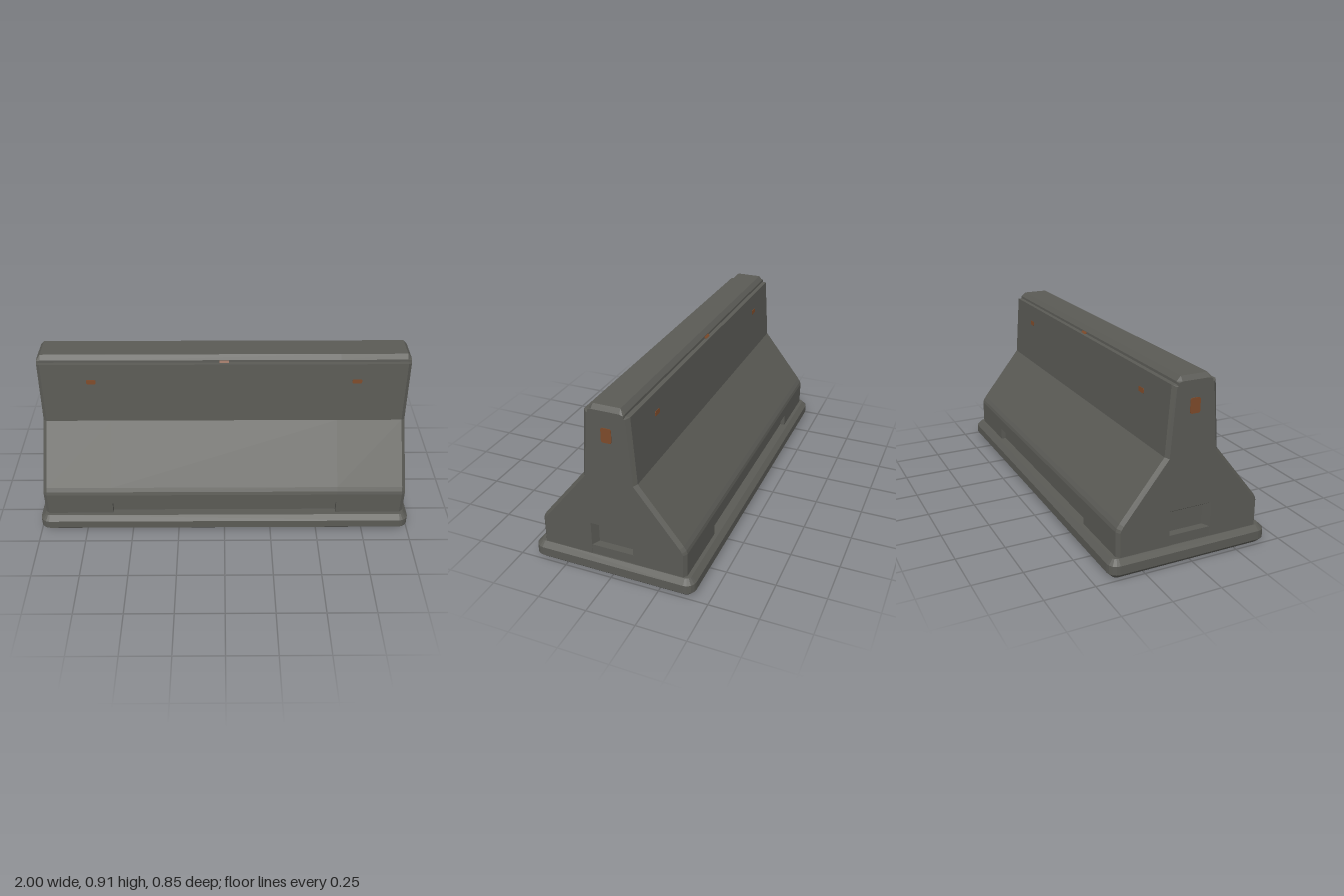
import * as THREE from 'three';

const concrete = new THREE.MeshStandardMaterial({ color: 0x5a5a55 });
concrete.name = 'grey concrete';
const orange = new THREE.MeshStandardMaterial({ color: 0x7d4a2a });
orange.name = 'dull orange';

function part(name, geometry, material, x = 0, y = 0, z = 0) {
  const mesh = new THREE.Mesh(geometry, material);
  mesh.name = name;
  mesh.position.set(x, y, z);
  return mesh;
}

// Skins flat faces between cross-sections [x, [[z, y], ...]] along x
function loft(sections) {
  const pos = [];
  for (let i = 0; i < sections.length - 1; i++) {
    const [x0, p] = sections[i], [x1, q] = sections[i + 1];
    for (let j = 0; j < p.length - 1; j++) {
      const a = [x0, p[j][1], p[j][0]], b = [x1, q[j][1], q[j][0]];
      const c = [x1, q[j + 1][1], q[j + 1][0]], d = [x0, p[j + 1][1], p[j + 1][0]];
      pos.push(...a, ...b, ...c, ...a, ...c, ...d);
    }
  }
  const g = new THREE.BufferGeometry();
  g.setAttribute('position', new THREE.Float32BufferAttribute(pos, 3));
  g.computeVertexNormals();
  return g;
}

// Completes a front half profile with its mirrored back half
const mirror = (half) => [...half, ...half.map(([z, y]) => [-z, y]).reverse()];

// Rounded rectangle outline
function roundedRect(w, h, r) {
  const s = new THREE.Shape();
  for (const [sx, sy, a] of [[1, 1, 0], [-1, 1, 1], [-1, -1, 2], [1, -1, 3]])
    s.absarc(sx * (w / 2 - r), sy * (h / 2 - r), r, a * Math.PI / 2, (a + 1) * Math.PI / 2);
  return s;
}

// Upright plate facing +z
const plate = (w, h, r) =>
  new THREE.ExtrudeGeometry(roundedRect(w, h, r), { depth: 0.004, bevelEnabled: false, curveSegments: 3 });

export function createModel() {
  const group = new THREE.Group();
  group.name = 'roadBarrier';

  // Chamfered foot slab
  const foot = new THREE.ExtrudeGeometry(roundedRect(1.95, 0.798, 0.025), {
    depth: 0.045, bevelThickness: 0.025, bevelSize: 0.025, bevelSegments: 1, curveSegments: 2,
  });
  foot.rotateX(-Math.PI / 2);
  group.add(part('foot', foot, concrete, 0, 0.025, 0));

  // Stepped wall with bevelled ends and a long slot at the bottom of each side
  const upper = [[0.38, 0.22], [0.375, 0.238], [0.362, 0.258], [0.138, 0.54], [0.113, 0.878],
    [0.09, 0.878], [0.089, 0.89], [0.068, 0.913]];
  const full = mirror([[0.38, 0.09], [0.38, 0.148], [0.38, 0.162], ...upper]);
  const slotted = mirror([[0.355, 0.09], [0.355, 0.148], [0.38, 0.162], ...upper]);
  const endHalf = [[0.365, 0.09], [0.365, 0.148], [0.365, 0.162], [0.365, 0.218], [0.36, 0.232],
    [0.348, 0.25], [0.122, 0.535], [0.095, 0.87], [0.089, 0.872], [0.087, 0.886], [0.07, 0.892]];
  const end = mirror(endHalf);
  group.add(part('wall', loft([
    [-0.972, end], [-0.953, full], [-0.605, full], [-0.605, slotted],
    [0.605, slotted], [0.605, full], [0.953, full], [0.972, end],
  ]), concrete));

  // End face with its connector pocket, repeated at the other end
  const outline = mirror([[0.11, 0.09], ...endHalf]);
  const face = new THREE.Shape(
    [...outline, [-0.11, 0.272], [0.11, 0.272]].map(([z, y]) => new THREE.Vector2(z, y)));
  const endFace = new THREE.ShapeGeometry(face).rotateY(Math.PI / 2);
  const mouth = [[-0.11, 0.09], [-0.11, 0.272], [0.11, 0.272], [0.11, 0.09]];
  const inner = [[-0.09, 0.09], [-0.09, 0.245], [0.09, 0.245], [0.09, 0.09]];
  const pocket = loft([[0.93, inner], [0.972, mouth]]);
  for (const [side, turn] of [['left', 0], ['right', Math.PI]]) {
    const endGroup = new THREE.Group();
    endGroup.name = side + 'End';
    endGroup.rotation.y = turn;
    endGroup.add(part('endFace', endFace, concrete, 0.972, 0, 0));
    endGroup.add(part('pocketWalls', pocket, concrete));
    endGroup.add(part('pocketBack', new THREE.BoxGeometry(0.01, 0.155, 0.18), concrete, 0.925, 0.1675, 0));
    endGroup.add(part('pocketSill', new THREE.BoxGeometry(0.04, 0.05, 0.22), concrete, 0.95, 0.12, 0));
    endGroup.add(part('endReflector', plate(0.052, 0.074, 0.01).rotateY(Math.PI / 2), orange, 0.971, 0.772, 0));
    group.add(endGroup);
  }

  // Side and top-edge reflectors on both long faces
  const lean = -Math.atan2(0.025, 0.338);
  for (const [side, turn] of [['front', 0], ['back', Math.PI]]) {
    const reflectors = new THREE.Group();
    reflectors.name = side + 'Reflectors';
    reflectors.rotation.y = turn;
    for (const x of [-0.695, 0.695])
      reflectors.add(part('sideReflector', plate(0.05, 0.024, 0.007).rotateX(lean), orange, x, 0.777, 0.1185));
    reflectors.add(part('edgeReflector', plate(0.05, 0.026, 0.007).rotateX(-Math.PI / 4), orange, 0, 0.884, 0.0875));
    group.add(reflectors);
  }
  return group;
}
